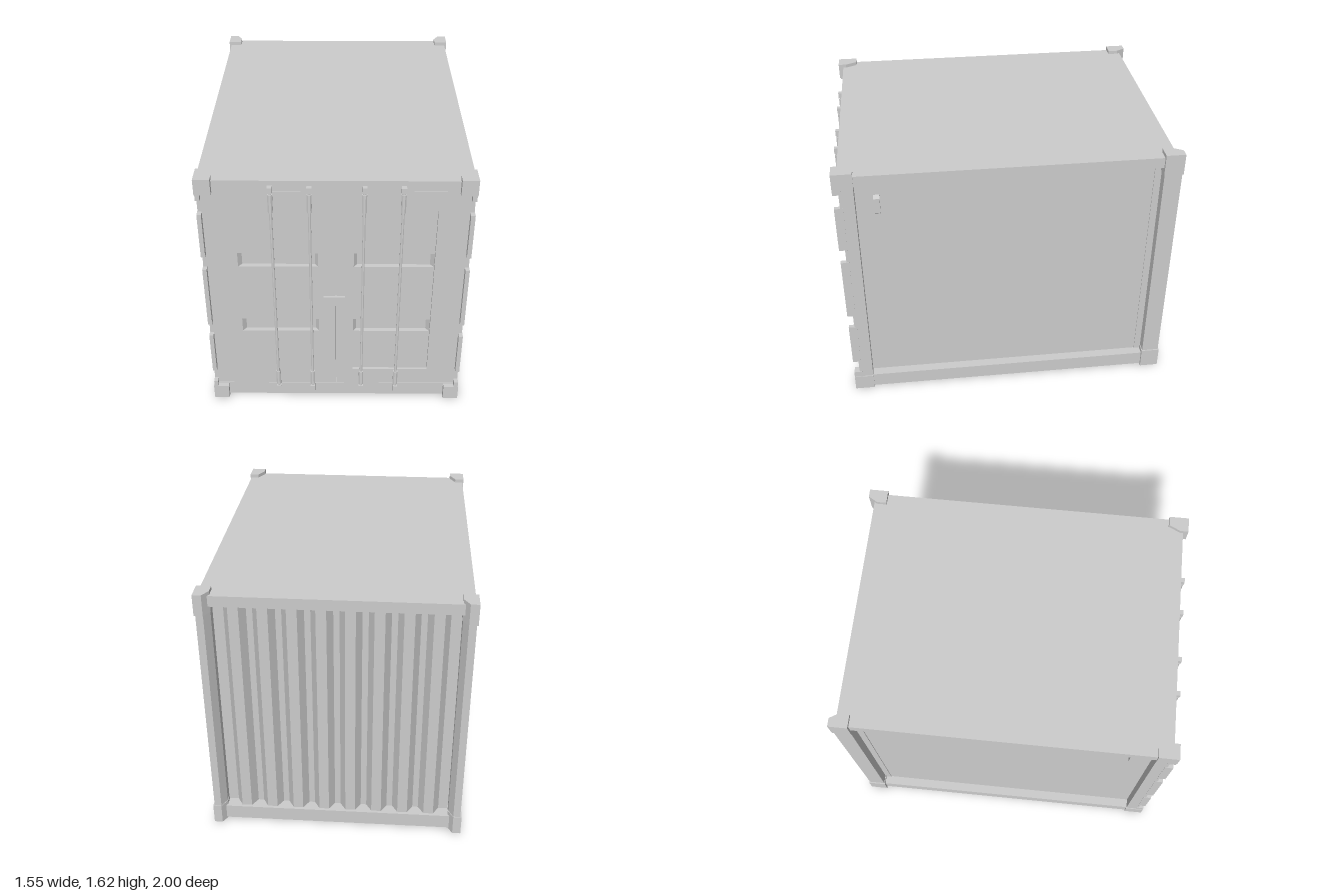
import * as THREE from 'three';

const mat = new THREE.MeshStandardMaterial({ color: 0xcccccc, flatShading: true });

export function createModel() {
  const model = new THREE.Group();

  const add = (name, geo) => {
    const mesh = new THREE.Mesh(geo, mat);
    mesh.name = name;
    model.add(mesh);
    return mesh;
  };

  // Box given by its limits on each axis
  const box = (name, x0, x1, y0, y1, z0, z1) =>
    add(name, new THREE.BoxGeometry(Math.abs(x1 - x0), y1 - y0, z1 - z0)
      .translate((x0 + x1) / 2, (y0 + y1) / 2, (z0 + z1) / 2));

  // Upright prism from a plan outline of [x, z] points
  const prism = (name, pts, y0, y1) => {
    const shape = new THREE.Shape(pts.map(([x, z]) => new THREE.Vector2(x, -z)));
    const geo = new THREE.ExtrudeGeometry(shape, { depth: y1 - y0, bevelEnabled: false });
    return add(name, geo.rotateX(-Math.PI / 2).translate(0, y0, 0));
  };

  const rect = (path, x0, x1, y0, y1) => {
    path.moveTo(x0, y0);
    path.lineTo(x1, y0);
    path.lineTo(x1, y1);
    path.lineTo(x0, y1);
    path.closePath();
    return path;
  };

  // Inner body, roof with its rails, floor with its rails
  box('body', -0.705, 0.705, 0.05, 1.57, -0.86, 0.92);
  box('roof', -0.762, 0.762, 1.537, 1.603, -0.963, 0.97);
  box('floor', -0.762, 0.762, 0.01, 0.103, -0.963, 0.97);

  // Corrugated back wall
  const wall = [[-0.71, -0.85], [-0.71, -0.89]];
  const pitch = 0.163;
  for (let i = 0; i < 8; i++) {
    const x = (i - 3.5) * pitch;
    wall.push([x - 0.064, -0.89], [x - 0.03, -0.945], [x + 0.03, -0.945], [x + 0.064, -0.89]);
  }
  wall.push([0.71, -0.89], [0.71, -0.85]);
  prism('corrugatedBackWall', wall, 0.1, 1.54);

  for (const s of [-1, 1]) {
    // Corner posts
    const backPost = [[0.768, -0.995], [0.725, -0.995], [0.695, -0.94], [0.695, -0.89], [0.768, -0.89]];
    prism('backPost', backPost.map(([x, z]) => [s * x, z]), 0.1, 1.54);
    box('frontPost', s * 0.69, s * 0.764, 0.1, 1.54, 0.882, 0.965);

    // Corner fittings
    const backCorner = [[0.776, -1], [0.725, -1], [0.692, -0.945], [0.692, -0.885], [0.776, -0.885]];
    const frontCorner = [[0.77, 1], [0.677, 1], [0.677, 0.95], [0.712, 0.88], [0.77, 0.88]];
    for (const top of [0, 1]) {
      prism('backCornerFitting', backCorner.map(([x, z]) => [s * x, z]),
        top ? 1.495 : 0, top ? 1.625 : 0.13);
      prism('frontCornerFitting', frontCorner.map(([x, z]) => [s * x, z]),
        top ? 1.527 : 0, top ? 1.625 : 0.1);
    }

    // Door edge strip, broken by the hinge notches
    for (const [y0, y1] of [[0.1, 0.14], [0.23, 0.52], [0.61, 1.02], [1.11, 1.4], [1.49, 1.53]]) {
      box('hingeStrip', s * 0.741, s * 0.766, y0, y1, 0.95, 1);
    }

    // Side vent with sloping ends
    const vent = new THREE.Shape([[0, 1.31], [0.03, 1.332], [0.03, 1.43], [0, 1.442]]
      .map(([x, y]) => new THREE.Vector2(s * x, y)));
    add('sideVent', new THREE.ExtrudeGeometry(vent, { depth: 0.036, bevelEnabled: false })
      .translate(s * 0.704, 0, 0.744));

    // Door leaf with a recessed opening
    const x0 = 0.102, x1 = 0.566;
    const leaf = rect(new THREE.Shape(), s * 0.002, s * 0.743, 0.104, 1.535);
    leaf.holes.push(rect(new THREE.Path(), s * x0, s * x1, 0.22, 1.407));
    add('doorLeaf', new THREE.ExtrudeGeometry(leaf, { depth: 0.053, bevelEnabled: false })
      .translate(0, 0, 0.915));

    // Recessed door panels
    for (const [y0, y1] of [[0.22, 0.522], [0.615, 1.01], [1.105, 1.407]]) {
      box('doorPanel', s * x0, s * x1, y0, y1, 0.91, 0.952);
    }
    // Grooves between the panels, with slanted ends
    for (const [y0, y1] of [[0.522, 0.615], [1.01, 1.105]]) {
      const groove = [[x0, 0.91], [x0, 0.952], [x0 + 0.02, 0.925], [x1 - 0.022, 0.925], [x1, 0.952], [x1, 0.91]];
      prism('doorGroove', groove.map(([x, z]) => [s * x, z]), y0, y1);
    }
  }

  // Locking rods with sleeves and end cams
  const tube = (name, r, x, y0, y1) =>
    add(name, new THREE.CylinderGeometry(r, r, y1 - y0, 8)
      .rotateY(Math.PI / 8).translate(x, (y0 + y1) / 2, 0.982));
  for (const x of [-0.36, -0.146, 0.156, 0.37]) {
    tube('lockingRod', 0.009, x, 0.07, 1.56);
    for (const [y0, y1] of [[0.112, 0.218], [1.408, 1.525]]) tube('rodSleeve', 0.015, x, y0, y1);
    for (const [y0, y1] of [[0.06, 0.1], [1.537, 1.572]]) {
      box('rodCam', x - 0.014, x + 0.014, y0, y1, 0.965, 0.997);
    }
  }

  // Lock plate across the door gap
  box('lockPlate', -0.074, 0.052, 0.742, 0.806, 0.96, 0.981);

  return model;
}
